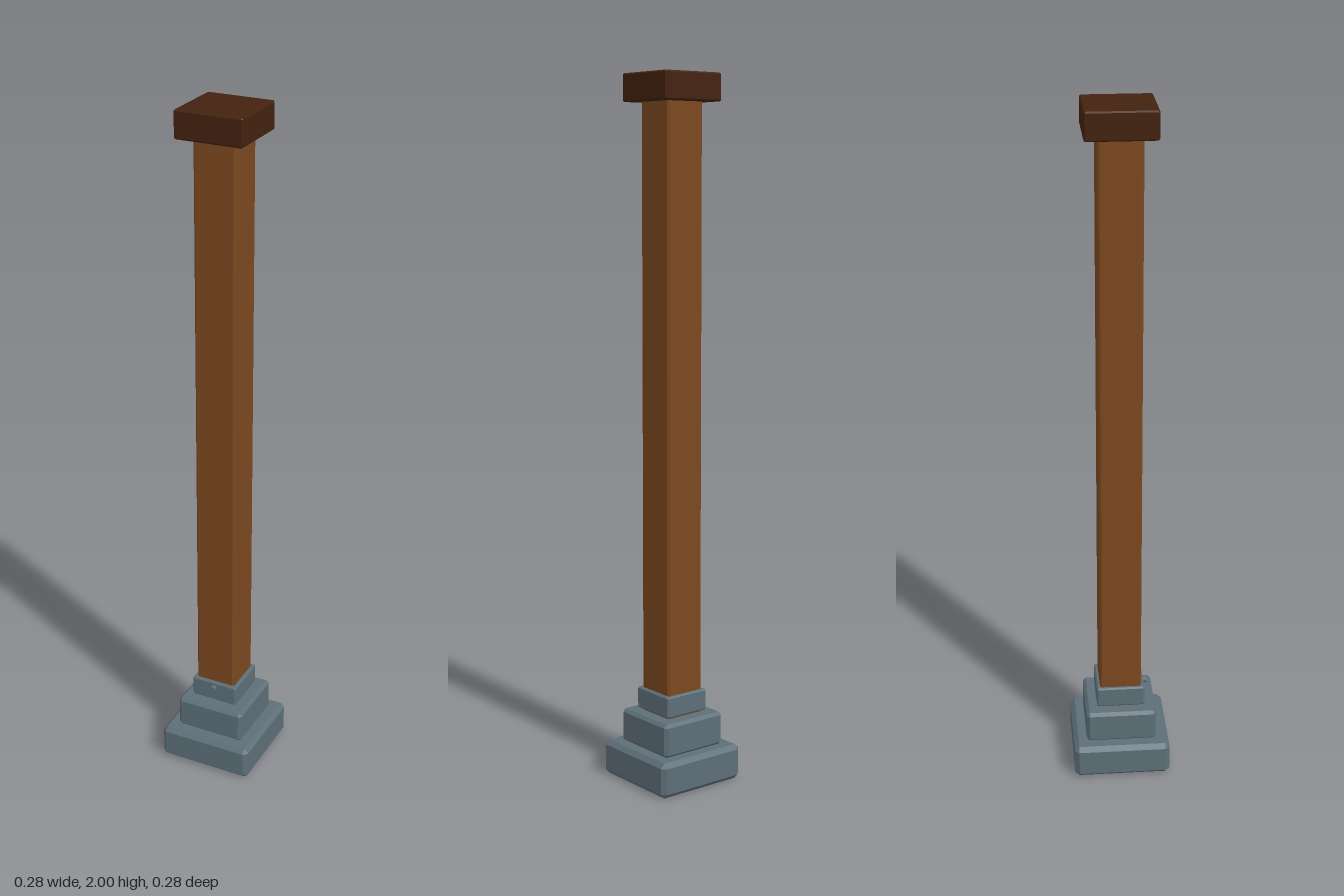
import * as THREE from 'three';
import { ConvexGeometry } from 'three/addons/geometries/ConvexGeometry.js';

function material(name, color) {
  const m = new THREE.MeshStandardMaterial({ color });
  m.name = name;
  return m;
}

// Square block with all edges and corners bevelled
function bevelledBlock(name, half, y0, y1, bevel, mat) {
  const h = (y1 - y0) / 2;
  const points = [];
  for (const sx of [-1, 1]) for (const sy of [-1, 1]) for (const sz of [-1, 1]) {
    const a = half - bevel, b = h - bevel;
    points.push(
      new THREE.Vector3(sx * half, sy * b, sz * a),
      new THREE.Vector3(sx * a, sy * h, sz * a),
      new THREE.Vector3(sx * a, sy * b, sz * half));
  }
  const mesh = new THREE.Mesh(new ConvexGeometry(points), mat);
  mesh.name = name;
  mesh.position.y = (y0 + y1) / 2;
  return mesh;
}

export function createModel() {
  const stone = material('slate grey', 0x5d6f78);
  const wood = material('brown wood', 0x7b481f);
  const darkWood = material('dark wood', 0x43220f);

  const group = new THREE.Group();
  group.name = 'column';

  // Stepped footing, collar, post and cap
  group.add(
    bevelledBlock('basePlinth', 0.142, 0, 0.102, 0.013, stone),
    bevelledBlock('upperPlinth', 0.104, 0.1, 0.198, 0.009, stone),
    bevelledBlock('collar', 0.071, 0.203, 0.265, 0.004, stone),
    bevelledBlock('post', 0.061, 0.19, 1.93, 0.006, wood),
    bevelledBlock('cap', 0.097, 1.923, 2, 0.004, darkWood));

  // Small bolt on the front of the collar
  const bolt = new THREE.Mesh(new THREE.CylinderGeometry(0.009, 0.009, 0.024, 12), stone);
  bolt.name = 'collarBolt';
  bolt.rotation.x = Math.PI / 2;
  bolt.position.set(0, 0.247, 0.071);
  group.add(bolt);

  return group;
}
